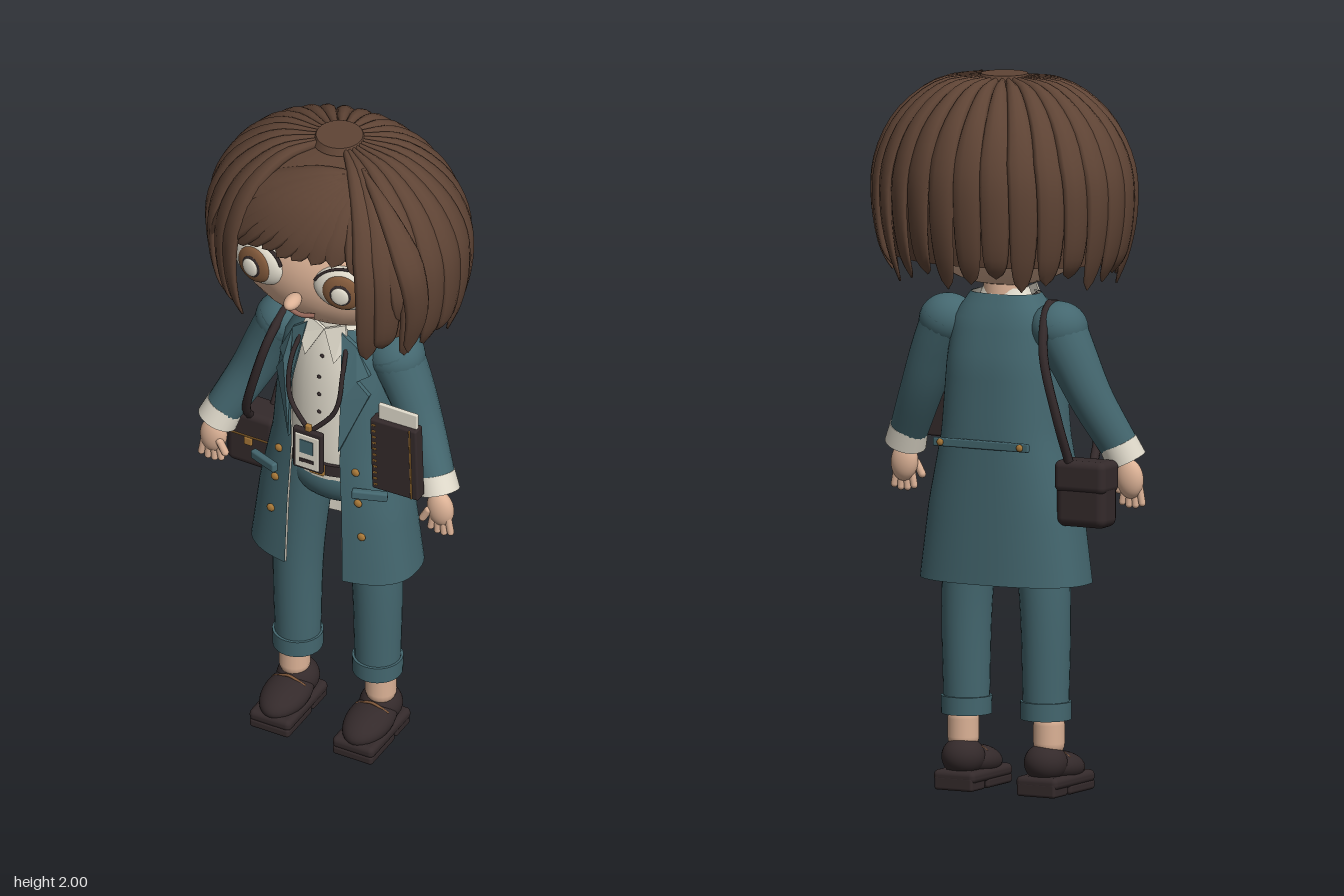
import * as THREE from 'three';
import { RoundedBoxGeometry } from 'three/addons/geometries/RoundedBoxGeometry.js';

const V = (x, y, z) => new THREE.Vector3(x, y, z);
const flat = (name, color, side = THREE.FrontSide) => {
  const m = new THREE.MeshStandardMaterial({ color, side });
  m.name = name;
  return m;
};

// Surface through a list of equal-length rings of points
function loft(rings, closed = true, flip = false) {
  const n = rings[0].length, pos = [], idx = [];
  rings.forEach(r => r.forEach(p => pos.push(p.x, p.y, p.z)));
  for (let i = 0; i < rings.length - 1; i++) {
    for (let j = 0; j < (closed ? n : n - 1); j++) {
      const a = i * n + j, b = i * n + (j + 1) % n, c = b + n, d = a + n;
      if (flip) idx.push(a, c, b, a, d, c); else idx.push(a, b, c, a, c, d);
    }
  }
  const g = new THREE.BufferGeometry();
  g.setAttribute('position', new THREE.Float32BufferAttribute(pos, 3));
  g.setIndex(idx);
  g.computeVertexNormals();
  return g;
}

// Elliptic section swept along a curve; out(p) gives the thickness direction
function sweep(points, out, width, thick, steps = 16, sides = 10) {
  const curve = new THREE.CatmullRomCurve3(points), rings = [];
  for (let i = 0; i <= steps; i++) {
    const t = i / steps, p = curve.getPoint(t), T = curve.getTangent(t);
    const N = out(p).clone().addScaledVector(T, -out(p).dot(T)).normalize();
    const B = N.clone().cross(T);
    rings.push(Array.from({ length: sides }, (_, j) => {
      const a = j / sides * Math.PI * 2;
      return p.clone().addScaledVector(B, Math.cos(a) * width(t)).addScaledVector(N, Math.sin(a) * thick(t));
    }));
  }
  return loft(rings);
}

// Coat sections: height, half width, half depth, half opening
const COAT = [[0.59, 0.25, 0.145, 0.09], [0.8, 0.222, 0.14, 0.085], [1.0, 0.18, 0.135, 0.075],
  [1.2, 0.165, 0.125, 0.085], [1.32, 0.15, 0.1, 0.07], [1.39, 0.1, 0.07, 0.055]];
function section(y) {
  let i = 0;
  while (i < COAT.length - 2 && y > COAT[i + 1][0]) i++;
  const a = COAT[i], b = COAT[i + 1], t = THREE.MathUtils.clamp((y - a[0]) / (b[0] - a[0]), 0, 1);
  return a.map((v, k) => v + (b[k] - v) * t);
}
const coatZ = (x, y) => {
  const [, rx, rz] = section(y);
  return 0.01 + rz * Math.pow(Math.max(0, 1 - Math.pow(Math.abs(x) / rx, 2.5)), 0.4);
};
function coatShell(k, flip) {
  const rings = [];
  for (let i = 0; i <= 24; i++) {
    const [y, rx, rz, gap] = section(0.59 + 0.8 * i / 24);
    const f0 = Math.asin(Math.pow(gap / rx, 1.25));
    rings.push(Array.from({ length: 49 }, (_, j) => {
      const f = f0 + (Math.PI * 2 - 2 * f0) * j / 48, s = Math.sin(f), c = Math.cos(f);
      return V(Math.sign(s) * Math.abs(s) ** 0.8 * rx * k, y, 0.01 + Math.sign(c) * Math.abs(c) ** 0.8 * rz * k);
    }));
  }
  return loft(rings, false, flip);
}

export function createModel() {
  const teal = flat('teal cloth', 0x44676f, THREE.DoubleSide), hair = flat('brown hair', 0x5f4435, THREE.DoubleSide);
  const skin = flat('skin', 0xdcb296), dark = flat('dark leather', 0x342a2b);
  const cream = flat('cream cloth', 0xe2dccd, THREE.DoubleSide), gold = flat('brass', 0xa87838);
  const iris = flat('iris brown', 0x80583a), lip = flat('lip', 0x9a6a5c);
  const model = new THREE.Group();
  const add = (name, geo, mat, p = [0, 0, 0], r = [0, 0, 0], s = [1, 1, 1], parent = model) => {
    const m = new THREE.Mesh(geo, mat);
    m.name = name;
    m.position.set(...p); m.rotation.set(...r); m.scale.set(...s);
    parent.add(m);
    return m;
  };
  const ball = new THREE.SphereGeometry(1, 28, 20);
  const box = (w, h, d, r = 0.01) => new RoundedBoxGeometry(w, h, d, 3, r);
  const cyl = (a, b, h) => new THREE.CylinderGeometry(a, b, h, 28);
  const tube = (pts, r) => new THREE.TubeGeometry(new THREE.CatmullRomCurve3(pts), 32, r, 8);

  // Head and face
  add('head', ball, skin, [0, 1.64, 0], [0, 0, 0], [0.31, 0.23, 0.245]);
  add('neck', cyl(0.056, 0.06, 0.14), skin, [0, 1.4, 0]);
  add('nose', ball, skin, [0, 1.6, 0.27], [0, 0, 0], [0.022, 0.02, 0.035]);
  add('mouth', tube([V(-0.045, 1.535, 0.222), V(0, 1.527, 0.227), V(0.045, 1.535, 0.222)], 0.007), lip);
  for (const s of [-1, 1]) {
    const eye = new THREE.Group();
    eye.name = 'eye';
    eye.position.set(s * 0.132, 1.658, 0.215);
    eye.rotation.y = s * 0.2;
    model.add(eye);
    add('eyeWhite', ball, cream, [0, 0, 0], [0, 0, 0], [0.088, 0.07, 0.035], eye);
    add('iris', ball, iris, [0, 0, 0.024], [0, 0, 0], [0.056, 0.055, 0.018], eye);
    add('pupil', ball, dark, [0, 0, 0.037], [0, 0, 0], [0.032, 0.034, 0.008], eye);
    add('eyeShine', ball, cream, [0, 0, 0.043], [0, 0, 0], [0.026, 0.028, 0.008], eye);
    add('lash', new THREE.TorusGeometry(0.088, 0.005, 6, 24, Math.PI * 0.8), dark, [0, 0, 0.012], [0, 0, 0.3], [1, 0.8, 1], eye);
    add('ear', ball, skin, [s * 0.31, 1.6, 0.03], [0, 0, 0], [0.035, 0.055, 0.035]);
  }

  // Hair: inner cap, crown and a ring of pointed locks
  const profile = pts => pts.map(p => new THREE.Vector2(...p));
  add('hairCap', new THREE.LatheGeometry(profile([[0.9, 1.77], [0.82, 1.85], [0.65, 1.92], [0.4, 1.965], [0, 1.985]]), 48),
    hair, [0, 0, 0], [0, 0, 0], [0.385, 1, 0.295]);
  add('hairBack', new THREE.LatheGeometry(profile([[0.84, 1.49], [0.91, 1.6], [0.92, 1.7], [0.9, 1.77]]), 48, 0.72, Math.PI * 2 - 1.44),
    hair, [0, 0, 0], [0, 0, 0], [0.385, 1, 0.3]);
  add('crown', cyl(0.065, 0.075, 0.02), hair, [0, 1.987, 0]);
  const fromHead = p => V(p.x, p.y - 1.65, p.z);
  const lockWidth = t => 0.006 + 0.041 * Math.min(1, t * 2.2) * Math.sqrt(Math.max(0, 1 - t ** 5)) - 0.005 * t;
  const lockThick = t => 0.012 + 0.012 * Math.sin(Math.PI * t) - 0.009 * t;
  const path = [[0.15, 1.982], [0.48, 1.962], [0.77, 1.875], [0.93, 1.75], [0.955, 1.63], [0.91, 1.51]];
  const angles = [0.64, Math.PI * 2 - 0.64];
  for (let k = 3; k < 25; k++) angles.push((k + 0.5) * Math.PI * 2 / 28);
  angles.forEach((f, i) => {
    const pts = [...path, [0.84, 1.425 + 0.018 * (i % 3)]].map(([r, y]) => V(Math.sin(f) * r * 0.385, y, Math.cos(f) * r * 0.3));
    add('hairLock', sweep(pts, fromHead, lockWidth, lockThick, 22), hair);
  });

  // Fringe swept from an off-centre parting
  const onHead = (x, y, z) => {
    const d = V(x, y - 1.65, z);
    return V(0, 1.65, 0).addScaledVector(d, 1 / Math.hypot(d.x / 0.375, d.y / 0.345, d.z / 0.285));
  };
  const ends = [[-0.34, 1.58, 0.12], [-0.3, 1.64, 0.19], [-0.25, 1.68, 0.22], [-0.2, 1.715, 0.25], [-0.15, 1.735, 0.26], [-0.1, 1.745, 0.27],
    [-0.05, 1.74, 0.28], [0.0, 1.745, 0.28], [0.06, 1.75, 0.28], [0.12, 1.755, 0.27], [0.19, 1.73, 0.25], [0.26, 1.66, 0.22], [0.31, 1.56, 0.18]];
  ends.forEach(([x, y, z]) => {
    const pts = [0, 0.25, 0.5, 0.75, 1].map(t => onHead(0.12 + (x - 0.12) * t, 1.96 + (y - 1.96) * t, 0.09 + (z - 0.09) * t));
    add('fringeLock', sweep(pts, fromHead, t => lockWidth(t) * 1.05, lockThick), hair);
  });
  add('sideSweep', sweep([V(0.12, 1.975, 0.09), V(0.24, 1.92, 0.17), V(0.33, 1.78, 0.2), V(0.34, 1.62, 0.18), V(0.3, 1.46, 0.16)],
    fromHead, lockWidth, lockThick), hair);

  // Coat with lining, shirt and belt
  add('coat', coatShell(1, false), teal);
  add('coatLining', coatShell(0.965, true), cream);
  const shirtRings = [[0.88, 0.14, 0.1], [1.0, 0.14, 0.112], [1.2, 0.14, 0.108], [1.32, 0.125, 0.088], [1.38, 0.075, 0.066], [1.405, 0.064, 0.062]];
  add('shirt', loft(shirtRings.map(([y, rx, rz]) => Array.from({ length: 32 }, (_, j) => {
    const f = j / 32 * Math.PI * 2;
    return V(Math.sin(f) * rx, y, 0.008 + Math.cos(f) * rz);
  }))), cream);
  add('belt', cyl(1, 1, 0.035), dark, [0, 0.93, 0.01], [0, 0, 0], [0.147, 1, 0.116]);
  add('buckle', box(0.045, 0.035, 0.012, 0.004), gold, [0, 0.93, 0.128]);
  for (const y of [1.12, 1.18, 1.24, 1.3]) add('shirtButton', ball, dark, [0, y, y > 1.25 ? 0.1 : 0.118], [0, 0, 0], [0.006, 0.006, 0.004]);
  add('backBelt', box(0.3, 0.024, 0.012, 0.004), teal, [0, 0.98, -0.132]);

  const plate = (pts, depth, lift) => {
    const g = new THREE.ExtrudeGeometry(new THREE.Shape(profile(pts)), { depth, bevelEnabled: false });
    const p = g.attributes.position;
    for (let i = 0; i < p.count; i++) p.setZ(i, p.getZ(i) + coatZ(p.getX(i), p.getY(i)) + lift);
    g.computeVertexNormals();
    return g;
  };
  for (const s of [-1, 1]) {
    const side = pts => pts.map(([x, y]) => [s * x, y]);
    add('lapel', plate(side([[0.055, 1.39], [0.1, 1.355], [0.14, 1.27], [0.115, 1.26], [0.145, 1.21], [0.078, 1.03], [0.08, 1.2]]), 0.012, 0.004), teal);
    add('shirtCollar', plate(side([[0.0, 1.385], [0.06, 1.41], [0.075, 1.35], [0.045, 1.3]]), 0.008, -0.002), cream);
    add('pocketFlap', box(0.1, 0.028, 0.02, 0.006), teal, [s * 0.165, 0.9, 0.13], [0, s * 0.4, s * -0.06]);
    add('backBeltButton', ball, gold, [s * 0.125, 0.98, -0.14], [0, 0, 0], [0.01, 0.01, 0.006]);
    [[0.12, 0.96], [0.13, 0.86], [0.142, 0.75]].forEach(([x, y]) =>
      add('coatButton', ball, gold, [s * x, y, coatZ(x, y) + 0.003], [0, 0, 0], [0.012, 0.012, 0.007]));

    // Sleeve, cuff and hand
    add('shoulder', ball, teal, [s * 0.175, 1.3, -0.005], [0, 0, 0], [0.082, 0.075, 0.077]);
    add('sleeve', sweep([V(s * 0.17, 1.31, -0.005), V(s * 0.215, 1.22, 0), V(s * 0.265, 1.11, 0.015), V(s * 0.34, 0.96, 0.06)],
      () => V(0, 0, 1), t => 0.078 - 0.025 * t, t => 0.077 - 0.025 * t, 16, 20), teal);
    add('cuff', cyl(0.054, 0.058, 0.055), cream, [s * 0.338, 0.962, 0.058], [-0.25, 0, s * 0.35]);
    add('palm', ball, skin, [s * 0.355, 0.885, 0.072], [0, 0, s * 0.1], [0.04, 0.055, 0.028]);
    for (let i = 0; i < 4; i++)
      add('finger', new THREE.CapsuleGeometry(0.01, 0.045, 4, 10), skin, [s * (0.332 + i * 0.018), 0.832 + Math.abs(i - 1.5) * 0.006, 0.078], [0, 0, s * (i - 1.5) * 0.12]);
    add('thumb', new THREE.CapsuleGeometry(0.011, 0.035, 4, 10), skin, [s * 0.318, 0.865, 0.09], [0, 0, s * -0.5]);

    // Leg, turn-up and shoe
    add('trouserLeg', sweep([V(s * 0.125, 0.22, 0.01), V(s * 0.122, 0.55, 0.01), V(s * 0.088, 0.9, 0.01)],
      () => V(0, 0, 1), t => 0.064 + 0.014 * t, t => 0.062 + 0.022 * t, 16, 24), teal);
    add('turnUp', cyl(0.071, 0.07, 0.05), teal, [s * 0.125, 0.235, 0.01]);
    add('ankle', new THREE.CapsuleGeometry(0.044, 0.05, 6, 20), skin, [s * 0.135, 0.17, 0.01]);
    add('shoeSole', box(0.13, 0.035, 0.23, 0.015), dark, [s * 0.13, 0.038, 0.055]);
    add('shoeHeel', box(0.12, 0.04, 0.08, 0.008), dark, [s * 0.13, 0.02, -0.02]);
    add('shoeFront', box(0.125, 0.03, 0.14, 0.01), dark, [s * 0.13, 0.015, 0.1]);
    add('shoeUpper', ball, dark, [s * 0.13, 0.072, 0.065], [0.12, 0, 0], [0.066, 0.045, 0.105]);
    add('shoeBack', ball, dark, [s * 0.13, 0.09, 0.0], [0, 0, 0], [0.06, 0.055, 0.062]);
    add('shoeTrim', tube([V(s * 0.13 - 0.05, 0.1, 0.05), V(s * 0.13, 0.122, 0.055), V(s * 0.13 + 0.05, 0.1, 0.05)], 0.004), iris);
    add('lanyard', tube([V(s * 0.06, 1.385, 0.06), V(s * 0.08, 1.29, 0.128), V(s * 0.07, 1.17, 0.155), V(0, 1.085, 0.172)], 0.007), dark);
  }
  add('hips', ball, teal, [0, 0.87, 0.01], [0, 0, 0], [0.15, 0.1, 0.1]);

  // Badge
  add('badgeFrame', box(0.092, 0.135, 0.018, 0.006), dark, [0, 1.03, 0.178]);
  add('badgeCard', box(0.074, 0.112, 0.008, 0.003), cream, [0, 1.027, 0.187]);
  add('badgePortrait', box(0.042, 0.045, 0.006, 0.002), teal, [0, 1.045, 0.19]);
  add('badgeLine', box(0.045, 0.012, 0.006, 0.002), dark, [0, 0.998, 0.19]);
  add('badgeClip', box(0.018, 0.03, 0.014, 0.004), gold, [0, 1.1, 0.178]);

  // Notebook with loose papers
  const book = new THREE.Group();
  book.name = 'notebook';
  book.position.set(0.255, 1.07, 0.137);
  book.rotation.z = 0.03;
  model.add(book);
  add('bookCover', box(0.145, 0.235, 0.04, 0.006), dark, [0, 0, 0], [0, 0, 0], [1, 1, 1], book);
  add('paper', box(0.12, 0.2, 0.012, 0.003), cream, [0.006, 0.065, 0], [0, 0, -0.03], [1, 1, 1], book);
  add('bookBand', box(0.005, 0.232, 0.006, 0.002), gold, [0.052, 0, 0.02], [0, 0, 0], [1, 1, 1], book);
  for (let i = 0; i < 11; i++) add('bookStitch', box(0.012, 0.006, 0.006, 0.002), gold, [-0.06, -0.1 + i * 0.02, 0.02], [0, 0, 0], [1, 1, 1], book);

  // Shoulder bag
  add('bag', box(0.155, 0.18, 0.09, 0.025), dark, [-0.275, 0.85, -0.03]);
  add('bagFlap', box(0.16, 0.09, 0.1, 0.02), dark, [-0.275, 0.9, -0.03]);
  add('bagTrim', box(0.13, 0.005, 0.006, 0.002), gold, [-0.275, 0.87, 0.02]);
  add('bagClasp', box(0.025, 0.025, 0.01, 0.003), gold, [-0.275, 0.855, 0.02]);
  add('bagStrap', tube([V(-0.24, 0.93, -0.06), V(-0.225, 1.06, -0.105), V(-0.18, 1.25, -0.105), V(-0.155, 1.37, -0.02),
    V(-0.17, 1.3, 0.085), V(-0.215, 1.14, 0.1), V(-0.26, 1.0, 0.06), V(-0.28, 0.93, 0.0)], 0.013), dark);
  return model;
}
